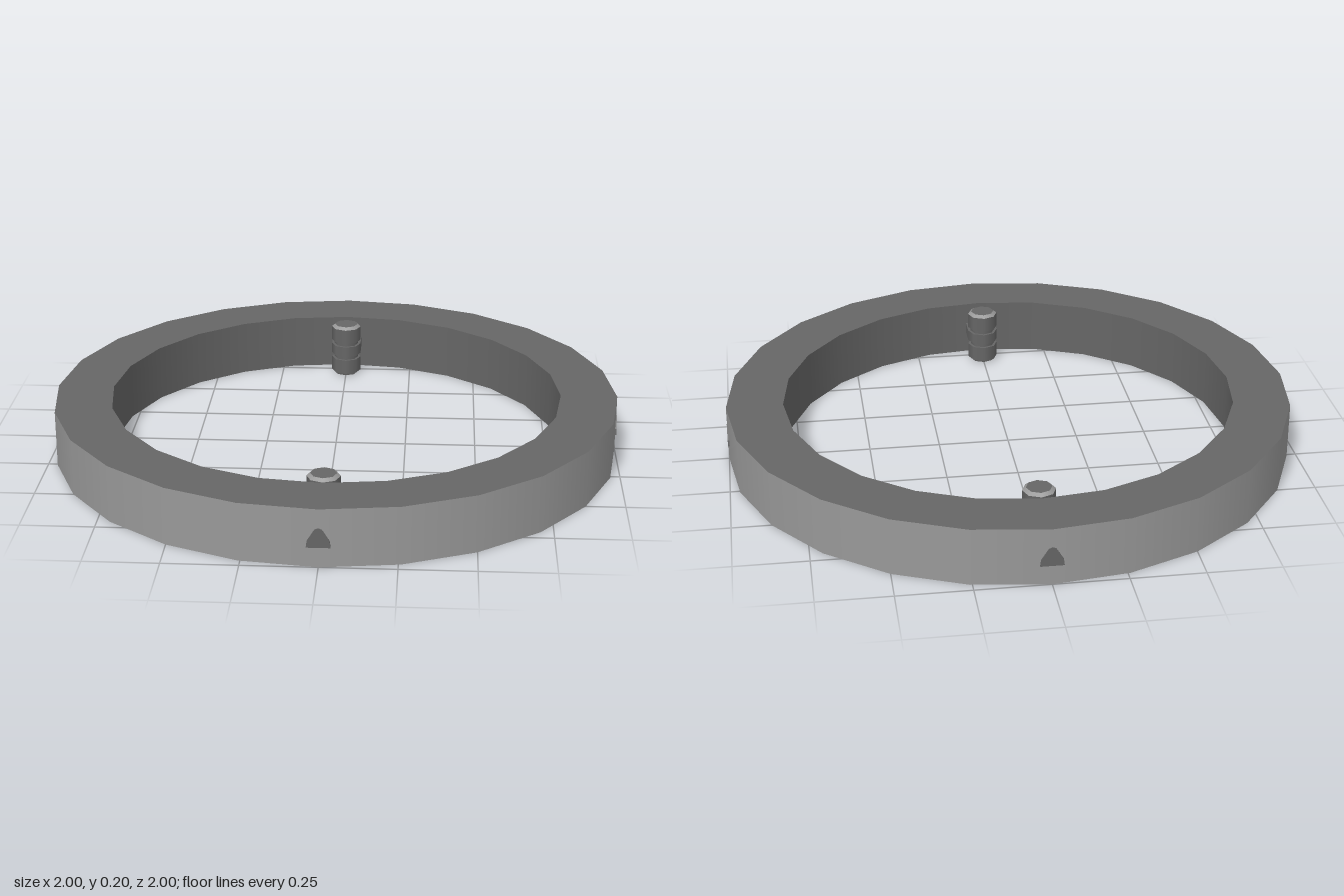
import * as THREE from 'three';

const lightGrey = new THREE.MeshStandardMaterial({ color: 0x999999 });
lightGrey.name = 'light grey';
const darkGrey = new THREE.MeshStandardMaterial({ color: 0x666666 });
darkGrey.name = 'dark grey';

function add(parent, name, geometry, material, x = 0, y = 0, z = 0) {
  const mesh = new THREE.Mesh(geometry, material);
  mesh.name = name;
  mesh.position.set(x, y, z);
  parent.add(mesh);
  return mesh;
}

// One turned surface between two profile points, with sharp edges to its neighbours
function band(r0, y0, r1, y1, sides) {
  return new THREE.LatheGeometry([new THREE.Vector2(r0, y0), new THREE.Vector2(r1, y1)], sides);
}

// Pin with chamfered ends and a narrow waist, held by a rounded bracket
function createPin() {
  const pin = new THREE.Group();
  pin.name = 'pin';
  const z = 0.72, r = 0.056, tip = 0.044;
  const profile = [[0, 0], [tip, 0], [r, 0.01], [r, 0.065], [0.046, 0.065], [0.046, 0.135],
    [r, 0.135], [r, 0.19], [tip, 0.2], [0, 0.2]];
  for (let i = 0; i < profile.length - 1; i++) {
    const chamfer = i === 1 || i === 7;
    add(pin, chamfer ? 'pinChamfer' : 'pinBody',
      band(...profile[i], ...profile[i + 1], 8), chamfer ? lightGrey : darkGrey, 0, 0, z);
  }
  add(pin, 'bracketEnd', new THREE.CylinderGeometry(r, r, 0.04, 8), darkGrey, 0, 0.1, z);
  add(pin, 'bracketArm', new THREE.BoxGeometry(2 * r, 0.04, 0.075), darkGrey, 0, 0.1, z + 0.0375);
  return pin;
}

// Small blunt triangle marker on the outer wall
function createMarker() {
  const shape = new THREE.Shape([[-0.039, 0.068], [0.039, 0.068], [0.036, 0.09], [0.012, 0.13],
    [0, 0.136], [-0.012, 0.13], [-0.036, 0.09]].map(([x, y]) => new THREE.Vector2(x, y)));
  return new THREE.ExtrudeGeometry(shape, { depth: 0.008, bevelEnabled: false });
}

export function createModel() {
  const model = new THREE.Group();
  model.name = 'ringFrame';

  // Ring
  const ring = new THREE.Group();
  ring.name = 'ring';
  model.add(ring);
  add(ring, 'outerWall', band(1, 0, 1, 0.2, 24), lightGrey);
  add(ring, 'topFace', band(1, 0.2, 0.8, 0.2, 24), darkGrey);
  add(ring, 'innerWall', band(0.8, 0.2, 0.8, 0, 24), darkGrey);
  add(ring, 'bottomFace', band(0.8, 0, 1, 0, 24), darkGrey);

  // Four markers, one on each side
  const marker = createMarker();
  for (let i = 0; i < 4; i++) {
    const holder = new THREE.Group();
    holder.name = 'markerHolder';
    holder.rotation.y = i * Math.PI / 2;
    add(holder, 'marker', marker, darkGrey, 0, 0, 0.993);
    model.add(holder);
  }

  // Front and back pins
  for (const angle of [0, Math.PI]) {
    const pin = createPin();
    pin.rotation.y = angle;
    model.add(pin);
  }
  return model;
}
